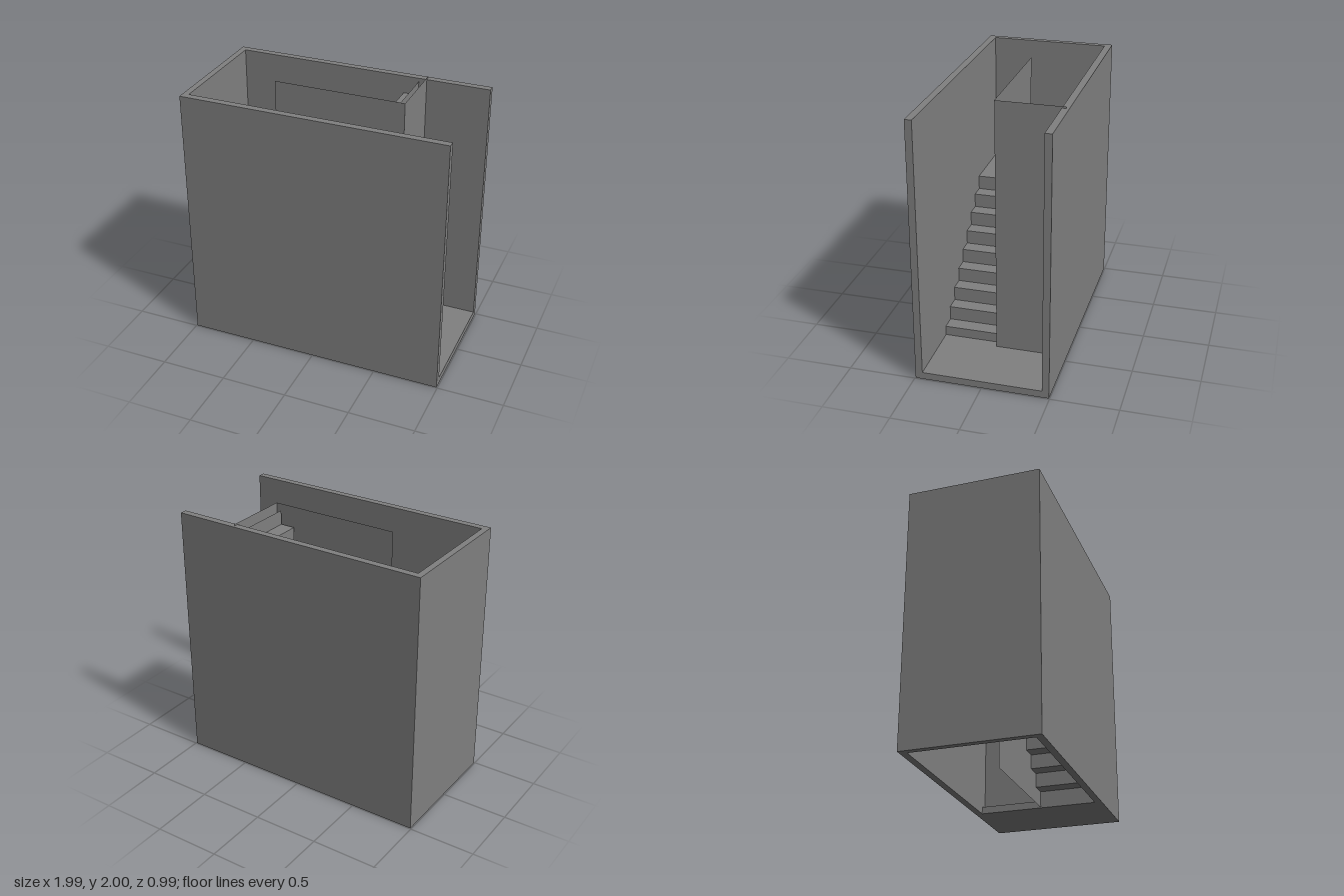
import * as THREE from 'three';

export function createModel() {
  const model = new THREE.Group();
  model.name = 'stairwell';
  const grey = new THREE.MeshStandardMaterial({ color: 0x808080, side: THREE.DoubleSide });
  grey.name = 'concrete grey';

  // Solid block given by its lower and upper limits
  function block(name, x0, x1, y0, y1, z0, z1) {
    const mesh = new THREE.Mesh(new THREE.BoxGeometry(x1 - x0, y1 - y0, z1 - z0), grey);
    mesh.position.set((x0 + x1) / 2, (y0 + y1) / 2, (z0 + z1) / 2);
    mesh.name = name;
    model.add(mesh);
  }

  // Thin sheet; the axis is the one it faces along
  function sheet(name, axis, at, u0, u1, v0, v1, parent = model) {
    const mesh = new THREE.Mesh(new THREE.PlaneGeometry(u1 - u0, v1 - v0), grey);
    const u = (u0 + u1) / 2, v = (v0 + v1) / 2;
    if (axis === 'x') { mesh.rotation.y = Math.PI / 2; mesh.position.set(at, v, u); }
    if (axis === 'y') { mesh.rotation.x = -Math.PI / 2; mesh.position.set(u, at, v); }
    if (axis === 'z') mesh.position.set(u, v, at);
    mesh.name = name;
    parent.add(mesh);
  }

  // Shaft walls, open at the right end, and entrance floor
  block('frontWall', -0.993, 0.993, 0, 1.988, 0.443, 0.495);
  block('backWall', -0.993, 0.993, 0, 1.988, -0.495, -0.443);
  block('endWall', -0.993, -0.947, 0, 1.988, -0.443, 0.443);
  block('entranceFloor', 0.457, 0.993, 0, 0.053, -0.443, 0.443);

  // Half landing, a hair clear of the end wall
  sheet('halfLanding', 'y', 0.99, -0.939, -0.446, -0.443, 0.443);

  // Two flights of folded treads and risers, in opposite directions
  const steps = 8, rise = 0.108, going = 0.903 / steps, middle = -0.005;
  function flight(name, startX, direction, baseY, z0, z1) {
    const group = new THREE.Group();
    group.name = name;
    for (let i = 0; i <= steps; i++) {
      const x = startX + direction * going * i;
      const y = baseY + rise * i;
      sheet('riser', 'x', x, z0, z1, y, y + rise, group);
      if (i < steps) {
        const next = x + direction * going;
        sheet('tread', 'y', y + rise, Math.min(x, next), Math.max(x, next), z0, z1, group);
      }
    }
    model.add(group);
  }
  flight('lowerFlight', 0.457, -1, 0.018, middle, 0.443);
  flight('upperFlight', -0.446, 1, 0.99, -0.443, middle);

  // Thin partitions between the flights and below the upper exit
  sheet('middlePartition', 'z', 0.025, -0.476, 0.517, 0.005, 2);
  sheet('endPartition', 'x', 0.517, -0.475, 0.025, 0.005, 2);

  return model;
}
